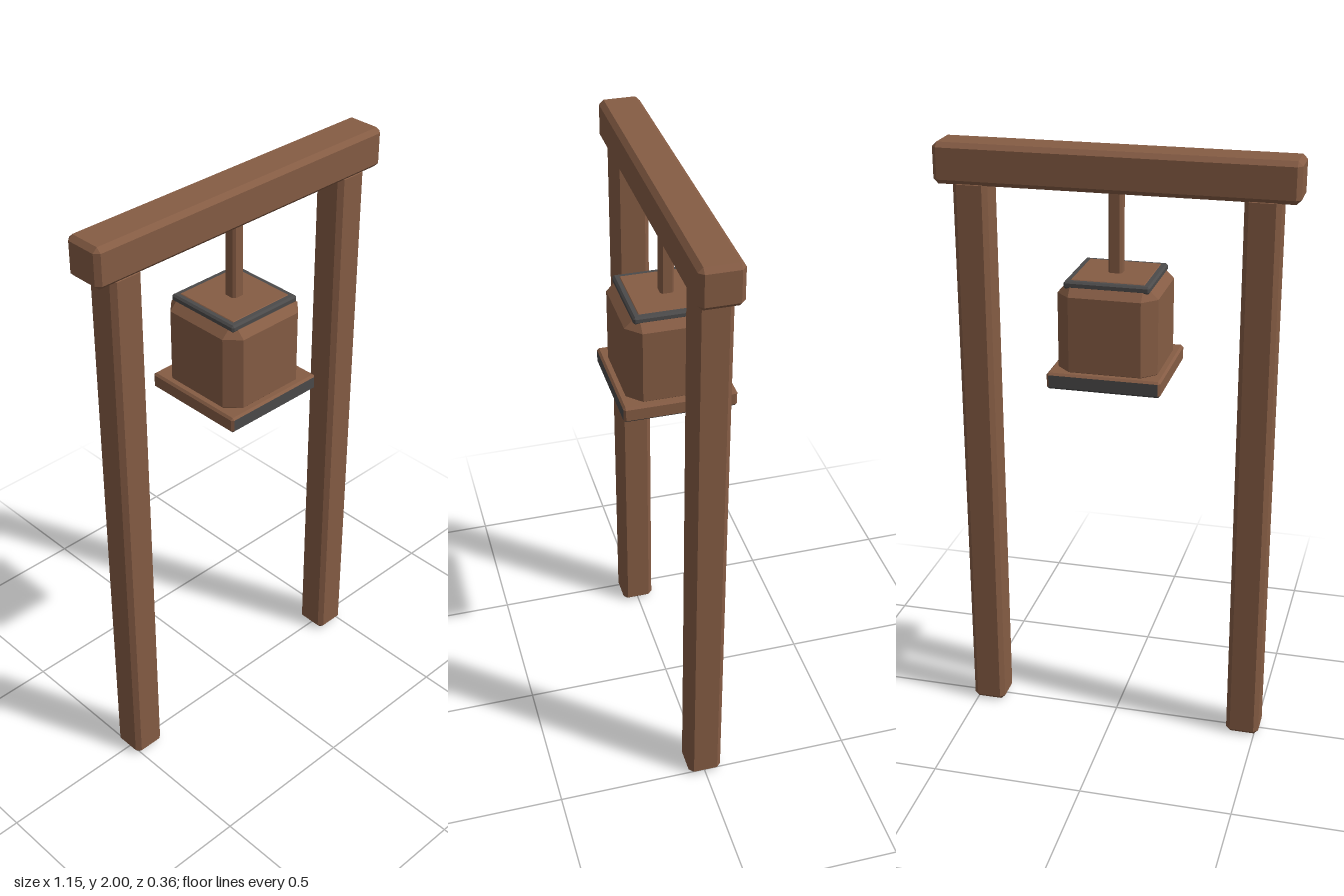
import * as THREE from 'three';
import { ConvexGeometry } from 'three/addons/geometries/ConvexGeometry.js';

const wood = new THREE.MeshStandardMaterial({ color: 0x855c44 });
wood.name = 'brown wood';
const iron = new THREE.MeshStandardMaterial({ color: 0x4b4a4a });
iron.name = 'dark iron';

// Box with all edges chamfered by b, spanning y0 to y1
function chamferedBox(hx, y0, y1, hz, b) {
  const hy = (y1 - y0) / 2, pts = [];
  for (const sx of [-1, 1]) for (const sy of [-1, 1]) for (const sz of [-1, 1]) {
    for (const [i, j, k] of [[0, 1, 1], [1, 0, 1], [1, 1, 0]]) {
      pts.push(new THREE.Vector3(sx * (hx - i * b), sy * (hy - j * b), sz * (hz - k * b)));
    }
  }
  return new ConvexGeometry(pts).translate(0, (y0 + y1) / 2, 0);
}

// Give each triangle material 0 or 1 according to its normal
function groupByNormal(geometry, pick) {
  const n = geometry.attributes.normal;
  for (let i = 0; i < n.count; i += 3) {
    geometry.addGroup(i, 3, pick(n.getX(i), n.getY(i), n.getZ(i)));
  }
  return geometry;
}

export function createModel() {
  const model = new THREE.Group();
  model.name = 'bellFrame';
  const add = (name, geometry, material, x = 0) => {
    const mesh = new THREE.Mesh(geometry, material);
    mesh.name = name;
    mesh.position.x = x;
    model.add(mesh);
  };

  // Timber frame
  add('crossbeam', chamferedBox(0.573, 1.87, 2, 0.067, 0.015), wood);
  for (const [name, side] of [['leftPost', 1], ['rightPost', -1]]) {
    add(name, chamferedBox(0.056, 0, 1.885, 0.056, 0.015), wood, side * 0.458);
  }

  // Hanger and bell
  add('hanger', chamferedBox(0.022, 1.605, 1.875, 0.022, 0.007), wood);
  add('bellBody', chamferedBox(0.16, 1.28, 1.612, 0.16, 0.045), wood);
  add('bellCap', chamferedBox(0.136, 1.586, 1.61, 0.136, 0.006), iron);

  // Rim: iron front, back and underside, wooden top and ends
  const rim = groupByNormal(chamferedBox(0.182, 1.27, 1.323, 0.182, 0.007),
    (x, y, z) => (y < -0.5 || Math.abs(z) > 0.8 ? 1 : 0));
  add('bellRim', rim, [wood, iron]);

  return model;
}
